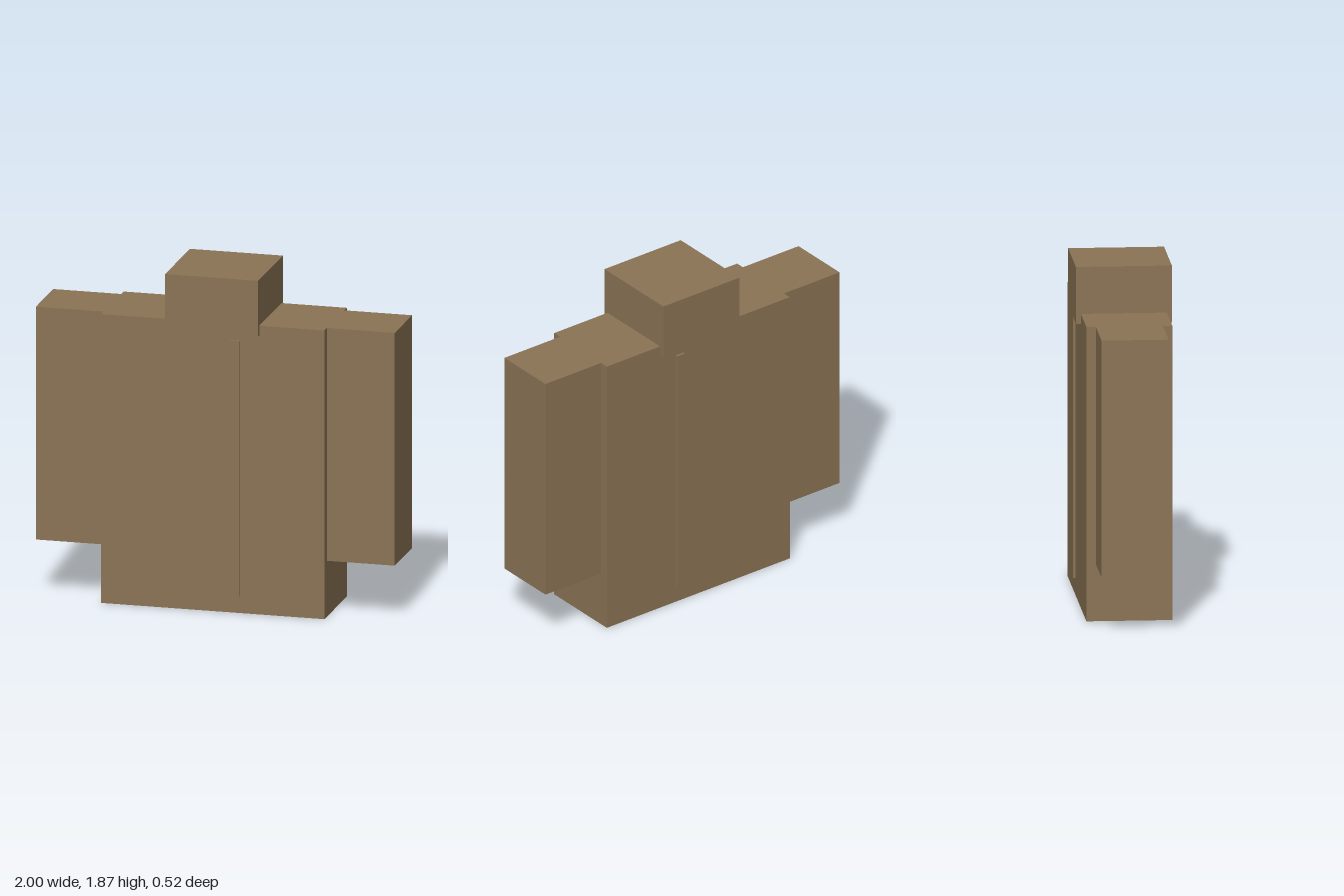
import * as THREE from 'three';

const cloth = new THREE.MeshStandardMaterial({ color: 0x8b7355, flatShading: true });

// Box given by its centre in x and z, its bottom and top in y, its width and depth
function box(name, x, z, bottom, top, width, depth) {
  const mesh = new THREE.Mesh(new THREE.BoxGeometry(width, top - bottom, depth), cloth);
  mesh.name = name;
  mesh.position.set(x, (bottom + top) / 2, z);
  return mesh;
}

export function createModel() {
  const group = new THREE.Group();
  group.name = 'blockyCoat';

  // Body panel and the raised collar that overlaps its top
  group.add(box('body', 0, 0, 0, 1.615, 1.244, 0.464));
  group.add(box('collar', 0, 0, 1.56, 1.873, 0.518, 0.518));

  // Sleeves, mirrored left and right, flush with the top of the body
  for (const [side, s] of [['left', 1], ['right', -1]]) {
    group.add(box(side + 'Sleeve', s * 0.81, 0, 0.313, 1.615, 0.38, 0.362));
  }

  // Off-centre closure strips, standing slightly proud of the front and back
  for (const [side, s] of [['front', 1], ['back', -1]]) {
    group.add(box(side + 'ClosureStrip', 0.127, s * 0.231, 0.094, 1.523, 0.05, 0.03));
  }

  return group;
}
